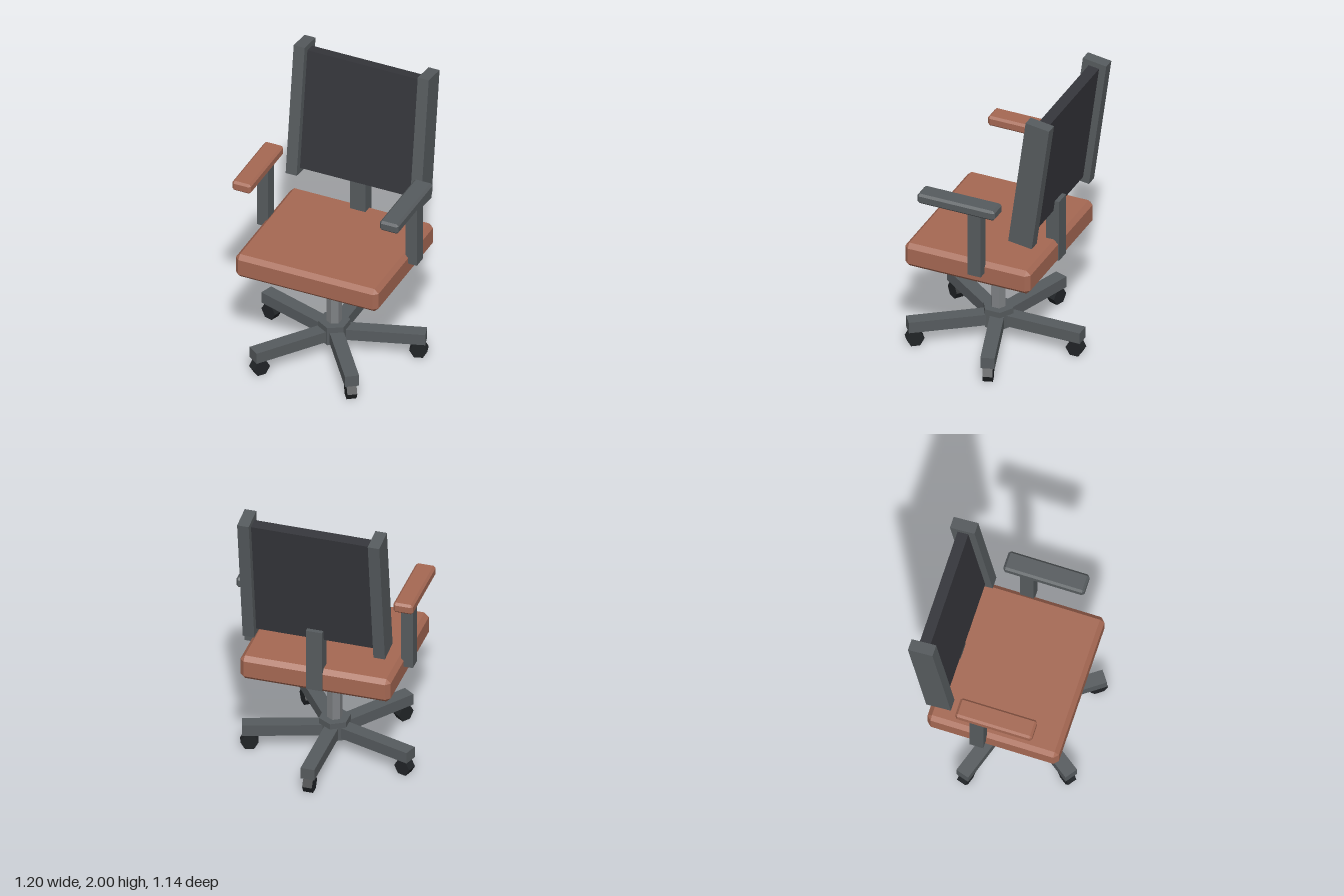
import * as THREE from 'three';
import { ConvexGeometry } from 'three/addons/geometries/ConvexGeometry.js';

const material = (color) => new THREE.MeshStandardMaterial({ color, flatShading: true });

// Box with every edge cut by a single flat chamfer.
function chamferBox(w, h, d, c) {
  const points = [];
  for (const sx of [-1, 1]) for (const sy of [-1, 1]) for (const sz of [-1, 1]) {
    const [x, y, z] = [w / 2, h / 2, d / 2];
    points.push(
      new THREE.Vector3(sx * x, sy * (y - c), sz * (z - c)),
      new THREE.Vector3(sx * (x - c), sy * y, sz * (z - c)),
      new THREE.Vector3(sx * (x - c), sy * (y - c), sz * z)
    );
  }
  return new ConvexGeometry(points);
}

export function createModel() {
  const leather = material(0xa56853);
  const frame = material(0x565b5e);
  const steel = material(0x7e8184);
  const fabric = material(0x35363b);
  const rubber = material(0x212427);

  const chair = new THREE.Group();
  chair.name = 'officeChair';
  const add = (name, geometry, mat, x, y, z, parent = chair) => {
    const mesh = new THREE.Mesh(geometry, mat);
    mesh.name = name;
    mesh.position.set(x, y, z);
    parent.add(mesh);
    return mesh;
  };
  const box = (w, h, d) => new THREE.BoxGeometry(w, h, d);

  // Five-legged base, with the first leg pointing straight back
  const base = new THREE.Group();
  base.name = 'base';
  base.position.z = 0.052;
  chair.add(base);
  add('hub', new THREE.CylinderGeometry(0.107, 0.107, 0.135, 6), frame, 0, 0.163, 0, base);
  add('column', new THREE.CylinderGeometry(0.051, 0.051, 0.5, 6), steel, 0, 0.41, 0, base);
  for (let i = 0; i < 5; i++) {
    const spoke = new THREE.Group();
    spoke.name = 'spoke';
    spoke.rotation.y = (i * Math.PI * 2) / 5;
    base.add(spoke);
    add('leg', box(0.094, 0.08, 0.605), frame, 0, 0.15, -0.3025, spoke);
    const caster = add('caster', new THREE.CylinderGeometry(0.06, 0.06, 0.066, 6), rubber, 0, 0.052, -0.557, spoke);
    caster.rotation.z = Math.PI / 2;
  }

  // Seat and its mounting plate
  add('seatPlate', box(0.39, 0.07, 0.39), frame, 0, 0.67, 0.051);
  add('seat', chamferBox(1.026, 0.174, 0.9, 0.03), leather, 0, 0.782, 0.048);

  // Reclined backrest: panel held between two side rails
  const backrest = new THREE.Group();
  backrest.name = 'backrest';
  backrest.position.set(0, 1.523, -0.389);
  backrest.rotation.x = -0.1333;
  chair.add(backrest);
  add('backPanel', box(0.82, 0.865, 0.075), fabric, 0, 0, 0, backrest);
  for (const side of [-1, 1]) {
    add('sideRail', box(0.079, 0.941, 0.17), frame, side * 0.446, 0, 0, backrest);
  }
  add('backSupport', box(0.11, 0.45, 0.095), frame, 0, 0.94, -0.362);

  // Armrests: the right pad is upholstered, the left pad is bare and a little longer
  for (const side of [-1, 1]) {
    add('armPost', box(0.08, 0.48, 0.095), frame, side * 0.535, 1.035, -0.038);
    add('armPad', chamferBox(0.135, 0.073, side < 0 ? 0.525 : 0.555, 0.015),
      side < 0 ? leather : frame, side * 0.534, 1.298, 0.085);
  }
  return chair;
}
